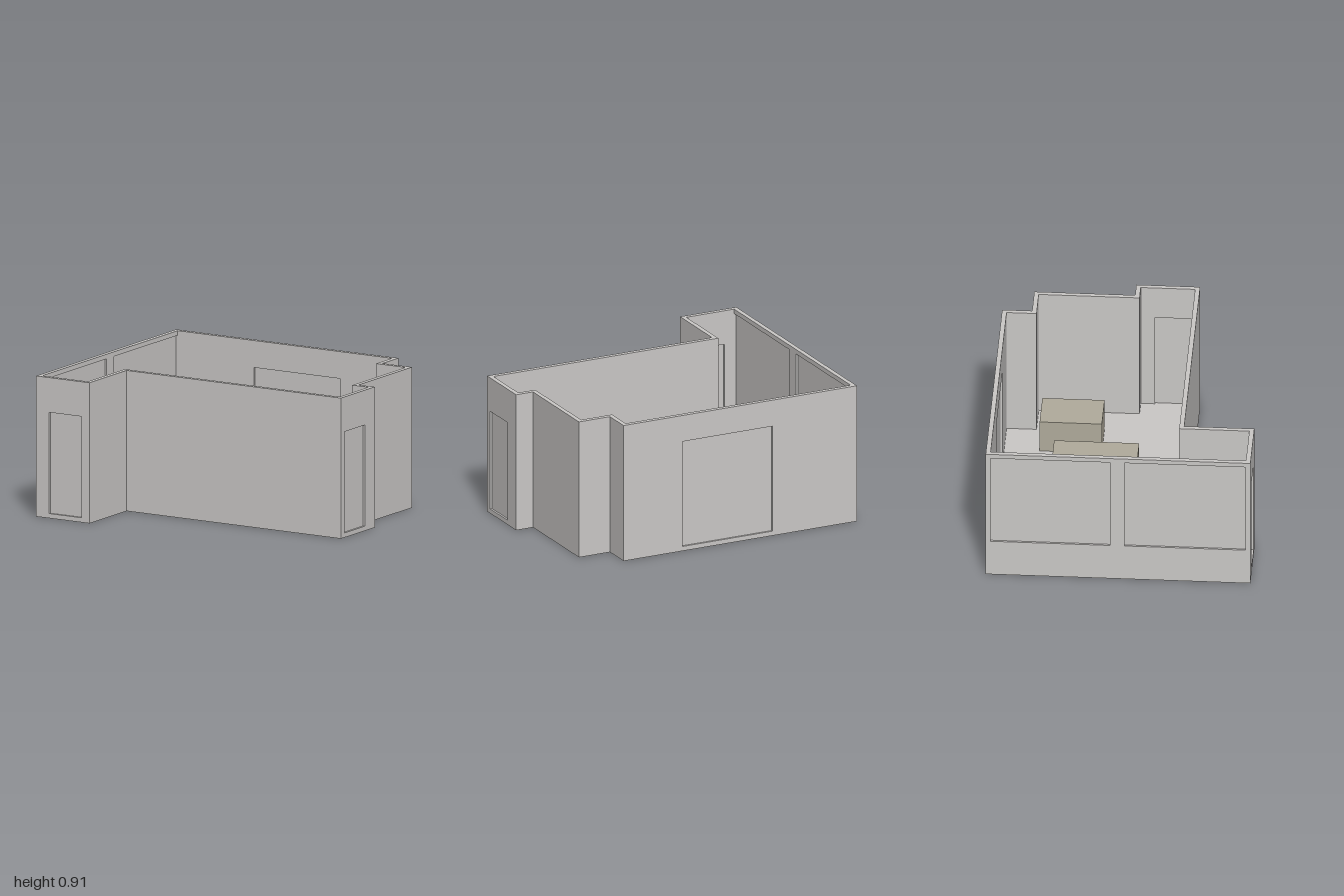
import * as THREE from 'three';

const H = 0.91, T = 0.03, FLOOR = 0.03;

// Outer outline of the room as [x, z], walked so that the inside lies on the wall's local +z
const OUTLINE = [
  [-1, -0.84], [0.66, -0.84], [0.66, -0.65], [0.88, -0.65], [0.88, -0.01],
  [1, -0.01], [1, 0.395], [-0.6, 0.395], [-0.6, 0.84], [-1, 0.84],
];

// Openings by wall index: start, end along the wall, bottom, top
const OPENINGS = {
  0: [['doubleDoor', 0.6, 1.24, 0.03, 0.735]],
  5: [['sideDoor', 0.12, 0.365, 0.03, 0.685]],
  8: [['frontDoor', 0.06, 0.3, 0.03, 0.685]],
  9: [['window', 0.03, 0.8, 0.25, 0.88], ['window', 0.89, 1.66, 0.25, 0.88]],
};

const rect = (Kind, u0, u1, y0, y1) => {
  const s = new Kind();
  s.moveTo(u0, y0);
  s.lineTo(u1, y0);
  s.lineTo(u1, y1);
  s.lineTo(u0, y1);
  s.closePath();
  return s;
};

export function createModel() {
  const group = new THREE.Group();
  const plaster = new THREE.MeshStandardMaterial({ color: 0xcac8c6 });
  plaster.name = 'plaster grey';
  const wood = new THREE.MeshStandardMaterial({ color: 0xb0ab9b });
  wood.name = 'dull tan';

  const add = (parent, name, geometry, material) => {
    const mesh = new THREE.Mesh(geometry, material);
    mesh.name = name;
    parent.add(mesh);
    return mesh;
  };

  // Floor slab
  const plan = new THREE.Shape(OUTLINE.map(([x, z]) => new THREE.Vector2(x, -z)));
  const slab = new THREE.ExtrudeGeometry(plan, { depth: FLOOR, bevelEnabled: false });
  slab.rotateX(-Math.PI / 2);
  add(group, 'floor', slab, plaster);

  // Walls with recessed doors and windows
  const count = OUTLINE.length;
  const point = i => new THREE.Vector3(OUTLINE[i % count][0], 0, OUTLINE[i % count][1]);
  for (let i = 0; i < count; i++) {
    const start = point(i), along = point(i + 1).sub(start);
    const next = point(i + 2).sub(point(i + 1));
    // An inward-pointing corner needs the wall to run on by its thickness
    const reflex = along.x * next.z - along.z * next.x < 0;
    const length = along.length() + (reflex ? T : 0);
    along.normalize();
    const inward = new THREE.Vector3(-along.z, 0, along.x);

    const wall = new THREE.Group();
    wall.name = 'wallSection';
    wall.position.copy(start);
    wall.quaternion.setFromRotationMatrix(
      new THREE.Matrix4().makeBasis(along, new THREE.Vector3(0, 1, 0), inward));
    group.add(wall);

    const face = rect(THREE.Shape, 0, length, 0, H);
    for (const [name, u0, u1, y0, y1] of OPENINGS[i] || []) {
      face.holes.push(rect(THREE.Path, u0, u1, y0, y1));
      const panel = add(wall, name, new THREE.BoxGeometry(u1 - u0, y1 - y0, 0.004), plaster);
      panel.position.set((u0 + u1) / 2, (y0 + y1) / 2, T / 2);
    }
    add(wall, 'wall', new THREE.ExtrudeGeometry(face, { depth: T, bevelEnabled: false }), plaster);
  }

  // Block furniture standing on the floor
  const block = (name, x0, x1, z0, z1, top) => {
    const mesh = add(group, name, new THREE.BoxGeometry(x1 - x0, top - FLOOR, z1 - z0), wood);
    mesh.position.set((x0 + x1) / 2, (top + FLOOR) / 2, (z0 + z1) / 2);
  };
  block('largeTable', -0.55, 0.18, -0.48, 0.06, 0.25);
  block('smallTable', 0.385, 0.66, -0.585, -0.19, 0.25);

  return group;
}
